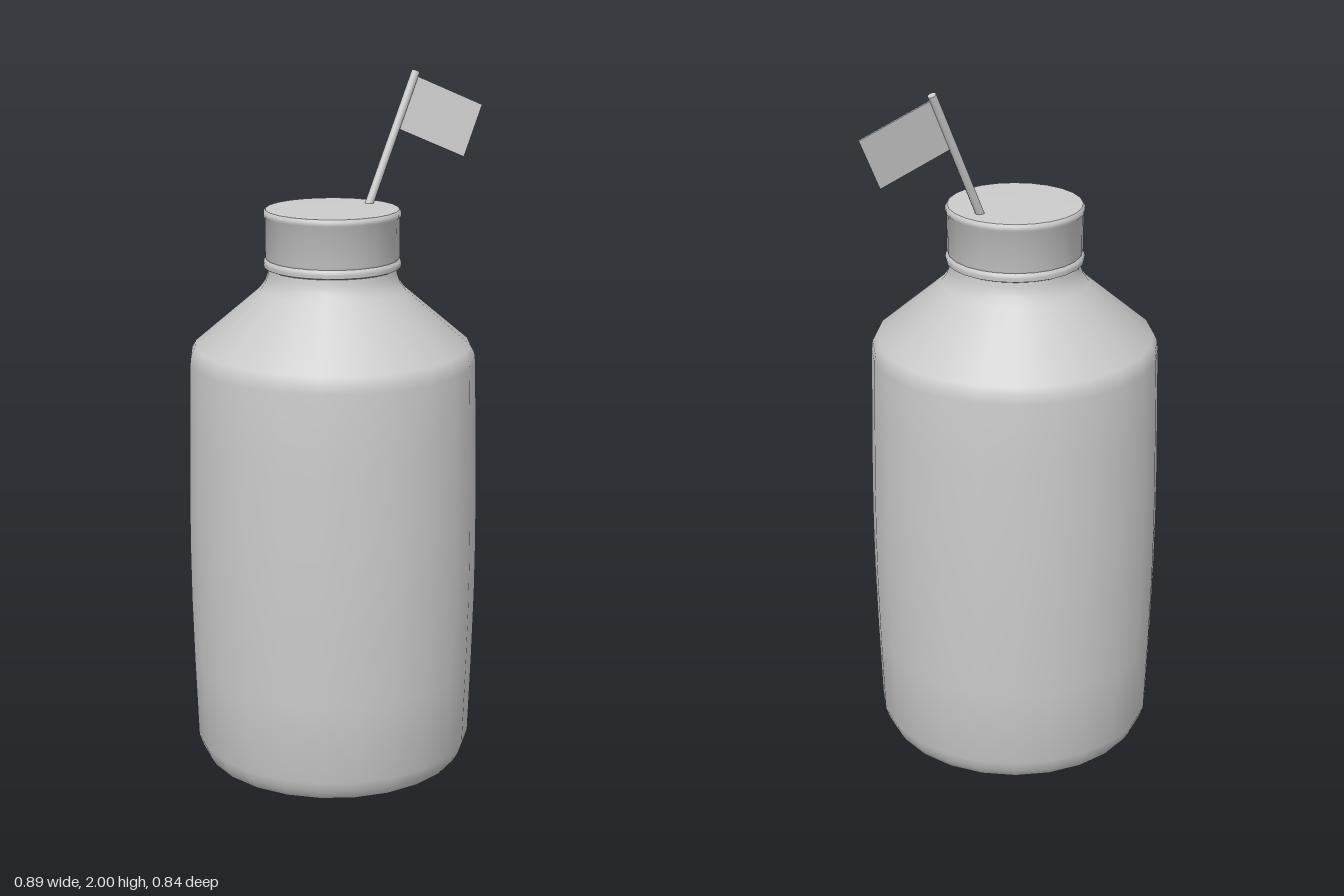
import * as THREE from 'three';
import { toCreasedNormals } from 'three/addons/utils/BufferGeometryUtils.js';

const material = new THREE.MeshStandardMaterial({ color: 0xcccccc });

// Turned part with smooth sides and sharp rims
function turned(name, profile) {
  const points = profile.map(([r, y]) => new THREE.Vector2(r, y));
  const geometry = toCreasedNormals(new THREE.LatheGeometry(points, 24), 0.75);
  const mesh = new THREE.Mesh(geometry, material);
  mesh.name = name;
  return mesh;
}

export function createModel() {
  const model = new THREE.Group();
  model.name = 'bottleWithFlag';

  // Bottle, with gently bulging sides and a slightly hollow base
  const bottle = new THREE.Group();
  bottle.name = 'bottle';
  bottle.position.x = -0.028;
  bottle.add(turned('body', [
    [0, 0.03], [0.2, 0.022], [0.372, 0], [0.379, 0.004], [0.394, 0.03], [0.405, 0.062],
    [0.413, 0.3], [0.418, 0.5], [0.419, 0.65], [0.418, 0.8], [0.414, 1.0],
    [0.409, 1.2], [0.406, 1.225], [0.395, 1.246],
    [0.208, 1.405], [0.192, 1.427], [0.184, 1.45], [0.182, 1.48], [0, 1.48],
  ]));

  // Screw cap with a retaining ring at its foot
  bottle.add(turned('capRing', [
    [0, 1.466], [0.185, 1.466], [0.194, 1.47], [0.196, 1.479], [0.194, 1.488], [0.188, 1.494], [0, 1.494],
  ]));
  bottle.add(turned('cap', [
    [0, 1.492], [0.188, 1.492], [0.191, 1.5], [0.191, 1.61],
    [0.195, 1.615], [0.195, 1.626], [0.189, 1.633], [0, 1.638],
  ]));
  model.add(bottle);

  // Leaning flag pole
  const foot = new THREE.Vector3(0.08, 1.61, -0.06);
  const tip = new THREE.Vector3(0.24, 1.995, -0.152);
  const up = tip.clone().sub(foot);
  const length = up.length();
  up.normalize();
  const out = new THREE.Vector3(0.205, -0.09, -0.022);
  out.addScaledVector(up, -out.dot(up)).normalize();
  const face = new THREE.Vector3().crossVectors(out, up);

  const flag = new THREE.Group();
  flag.name = 'flag';
  flag.quaternion.setFromRotationMatrix(new THREE.Matrix4().makeBasis(out, up, face));
  flag.position.copy(foot);

  const pole = new THREE.Mesh(new THREE.CylinderGeometry(0.012, 0.012, length, 10), material);
  pole.name = 'flagPole';
  pole.position.y = length / 2;

  // Thin cloth along the upper end of the pole
  const cloth = new THREE.Mesh(new THREE.BoxGeometry(0.225, 0.16, 0.005), material);
  cloth.name = 'flagCloth';
  cloth.position.set(0.1125, length - 0.092, 0);
  flag.add(pole, cloth);
  model.add(flag);

  return model;
}
